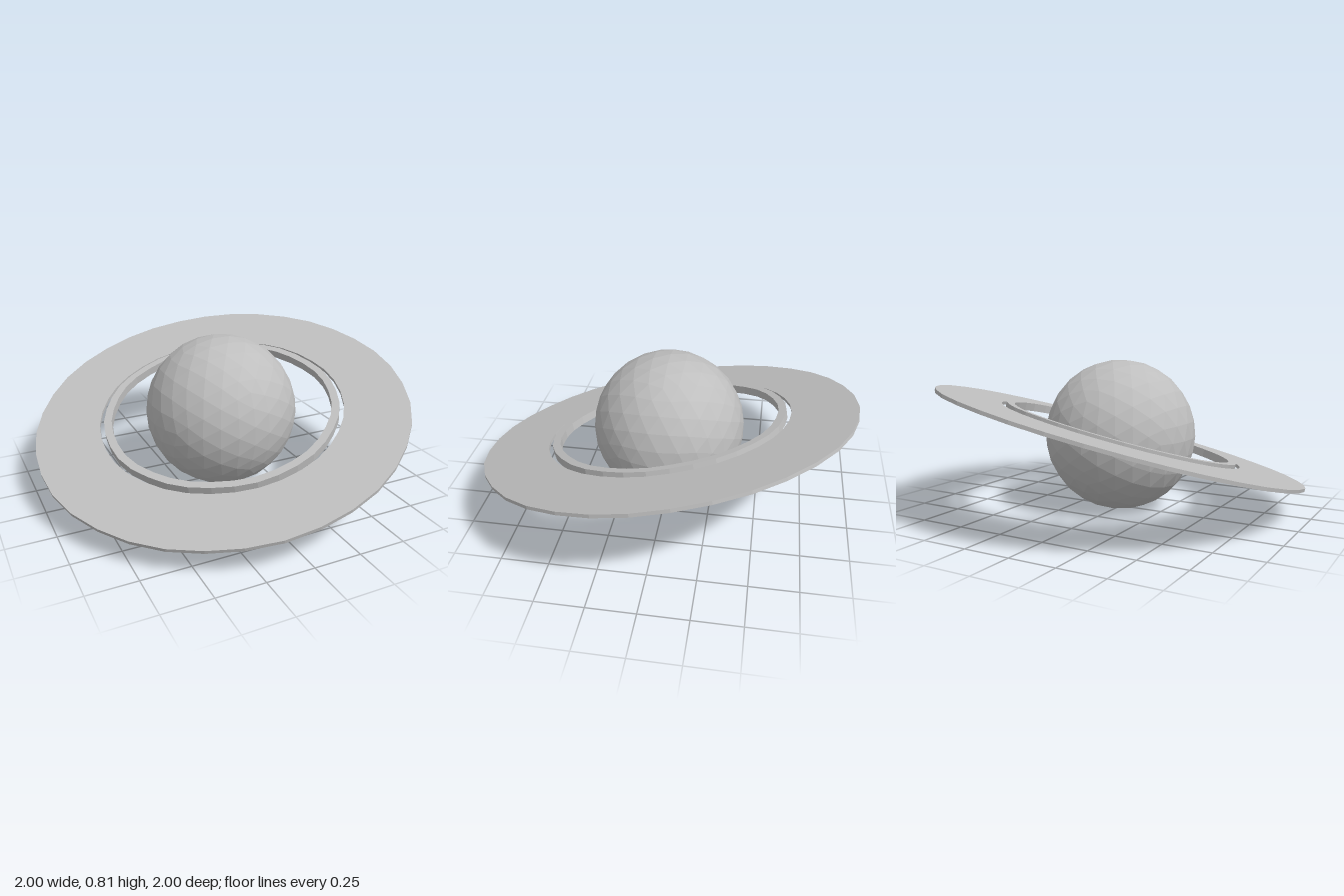
import * as THREE from 'three';

const stone = new THREE.MeshStandardMaterial({ color: 0xbebebe, flatShading: true });
stone.name = 'stoneGrey';

// Flat band with a rectangular section and a slightly uneven, hand-cut edge
function makeBand(name, inner, outer, thickness, segments, wobble) {
  const h = thickness / 2;
  const profile = [[inner, -h], [outer, -h], [outer, h], [inner, h], [inner, -h]]
    .map(([r, y]) => new THREE.Vector2(r, y));
  const geometry = new THREE.LatheGeometry(profile, segments);
  const p = geometry.attributes.position;
  for (let i = 0; i < p.count; i++) {
    const a = Math.atan2(p.getZ(i), p.getX(i));
    const k = 1 + wobble * (Math.sin(5 * a) + Math.sin(11 * a + 1)) / 2;
    p.setXYZ(i, p.getX(i) * k, p.getY(i), p.getZ(i) * k);
  }
  geometry.computeVertexNormals();
  const mesh = new THREE.Mesh(geometry, stone);
  mesh.name = name;
  return mesh;
}

export function createModel() {
  const model = new THREE.Group();
  model.name = 'ringedPlanet';

  // Faceted globe resting on the ground
  const globe = new THREE.Mesh(new THREE.IcosahedronGeometry(0.41, 4), stone);
  globe.name = 'globe';
  globe.position.y = 0.41;
  model.add(globe);

  // Two concentric rings sharing one tilt: high at right-back, low at left-front
  const rings = new THREE.Group();
  rings.name = 'rings';
  rings.add(makeBand('outerRing', 0.67, 1.02, 0.018, 36, 0.003));
  rings.add(makeBand('innerRing', 0.603, 0.645, 0.045, 36, 0.006));
  rings.quaternion.setFromUnitVectors(
    new THREE.Vector3(0, 1, 0),
    new THREE.Vector3(-0.2, 1, 0.2).normalize()
  );
  rings.position.y = 0.405;
  model.add(rings);

  return model;
}
